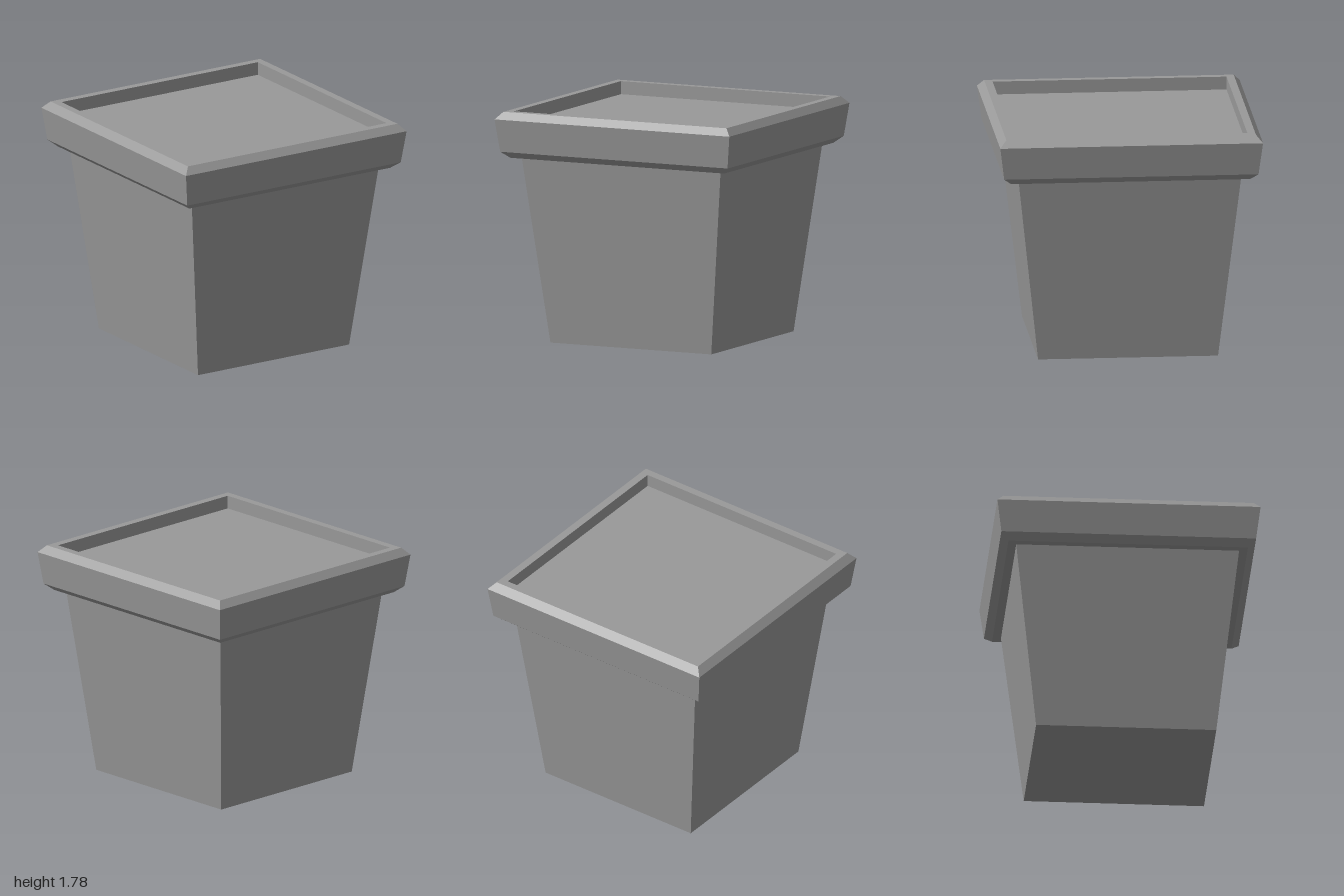
import * as THREE from 'three';

// Four-sided lathe: profile points are [half width, height], outer side running upward
function squareLathe(name, profile, material) {
  const points = profile.map(([half, y]) => new THREE.Vector2(half * Math.SQRT2, y));
  const geometry = new THREE.LatheGeometry(points, 4, Math.PI / 4).toNonIndexed();
  geometry.computeVertexNormals();
  const mesh = new THREE.Mesh(geometry, material);
  mesh.name = name;
  return mesh;
}

export function createModel() {
  const group = new THREE.Group();
  group.name = 'squarePlanter';
  const stone = new THREE.MeshStandardMaterial({ color: 0x999999 });
  stone.name = 'grey stone';

  // Tapered body with a closed base
  group.add(squareLathe('body', [[0, 0], [0.685, 0], [0.847, 1.43]], stone));

  // Bevelled collar with a vertical inner wall
  group.add(squareLathe('rim', [
    [0.847, 1.43], [0.91, 1.43], [0.968, 1.48], [1, 1.73],
    [0.95, 1.785], [0.89, 1.785], [0.89, 1.685],
  ], stone));

  // Flat fill sunk inside the rim
  group.add(squareLathe('soil', [[0.89, 1.685], [0, 1.685]], stone));

  return group;
}
